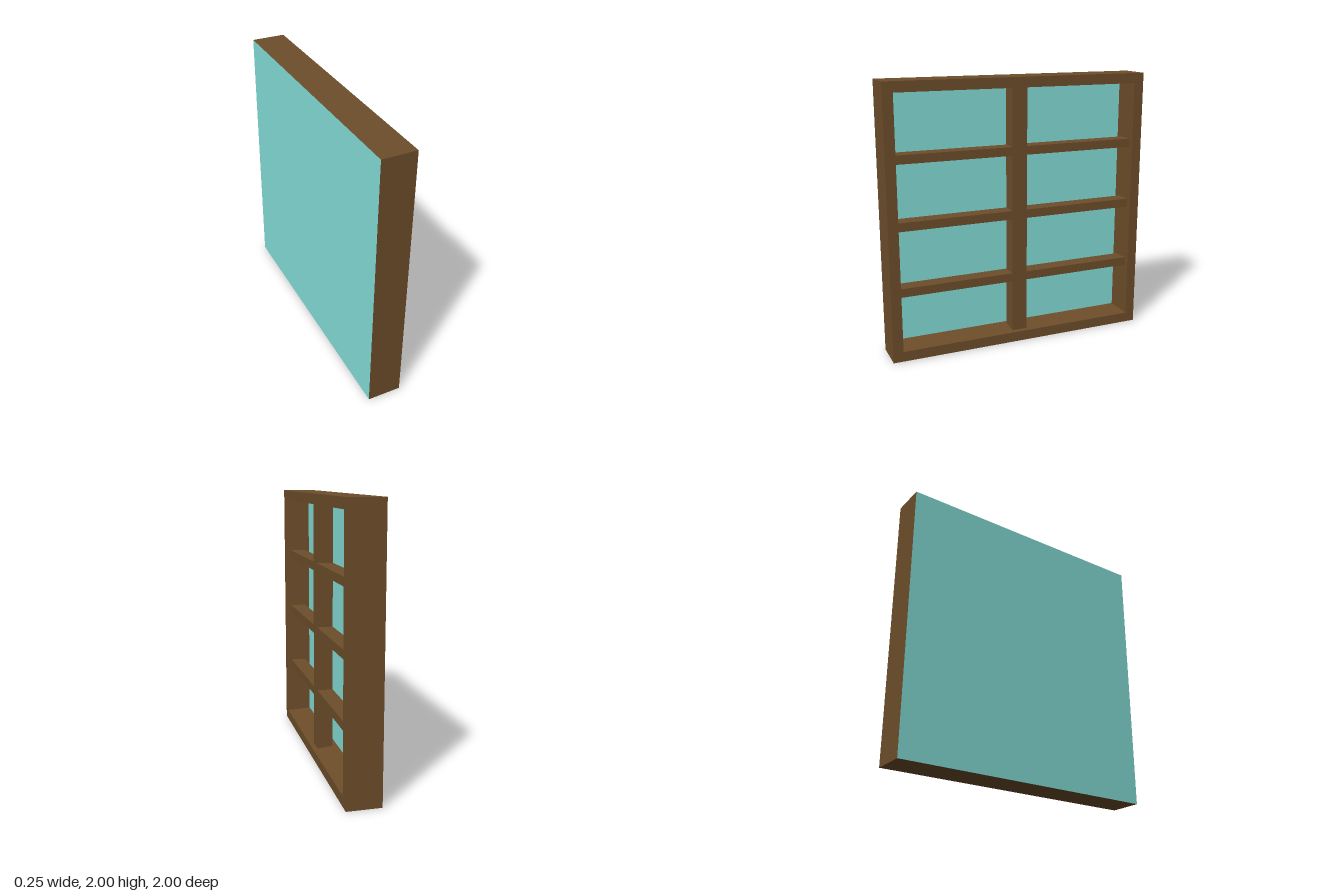
import * as THREE from 'three';

const wood = new THREE.MeshStandardMaterial({ color: 0x6e4e2a, flatShading: true });
const glass = new THREE.MeshStandardMaterial({ color: 0x85dfd8 });

export function createModel() {
  const model = new THREE.Group();

  function add(name, geometry, material, x = 0, y = 0, z = 0) {
    const mesh = new THREE.Mesh(geometry, material);
    mesh.name = name;
    mesh.position.set(x, y, z);
    model.add(mesh);
    return mesh;
  }

  // Square frame with a slightly tapered opening: a four-sided lathe about x
  const profile = [[1, -0.125], [1, 0.125], [0.925, 0.125], [0.909, -0.066]]
    .map(([half, x]) => new THREE.Vector2(half * Math.SQRT2, x));
  const frame = new THREE.LatheGeometry(profile, 4, Math.PI / 4)
    .rotateZ(-Math.PI / 2)
    .toNonIndexed();
  frame.computeVertexNormals();
  add('frame', frame, wood, 0, 1);

  // Glass seen through the opening, and the full-size back face
  add('glassPane', new THREE.PlaneGeometry(1.818, 1.818).rotateY(Math.PI / 2), glass, -0.066, 1);
  add('glassBack', new THREE.PlaneGeometry(2, 2).rotateY(-Math.PI / 2), glass, -0.125, 1);

  // Bars stand a little in front of the glass and run into the frame
  const depth = 0.118, barX = 0.03, barWidth = 0.116, reach = 0.94;
  add('verticalBar', new THREE.BoxGeometry(depth, 2 * reach, barWidth), wood, barX, 1);

  const length = reach - barWidth / 2;
  for (const y of [0.508, 0.992, 1.468]) {
    for (const side of [1, -1]) {
      add(side > 0 ? 'frontCrossBar' : 'backCrossBar',
        new THREE.BoxGeometry(depth, 0.064, length), wood,
        barX, y, side * (barWidth / 2 + length / 2));
    }
  }

  return model;
}
